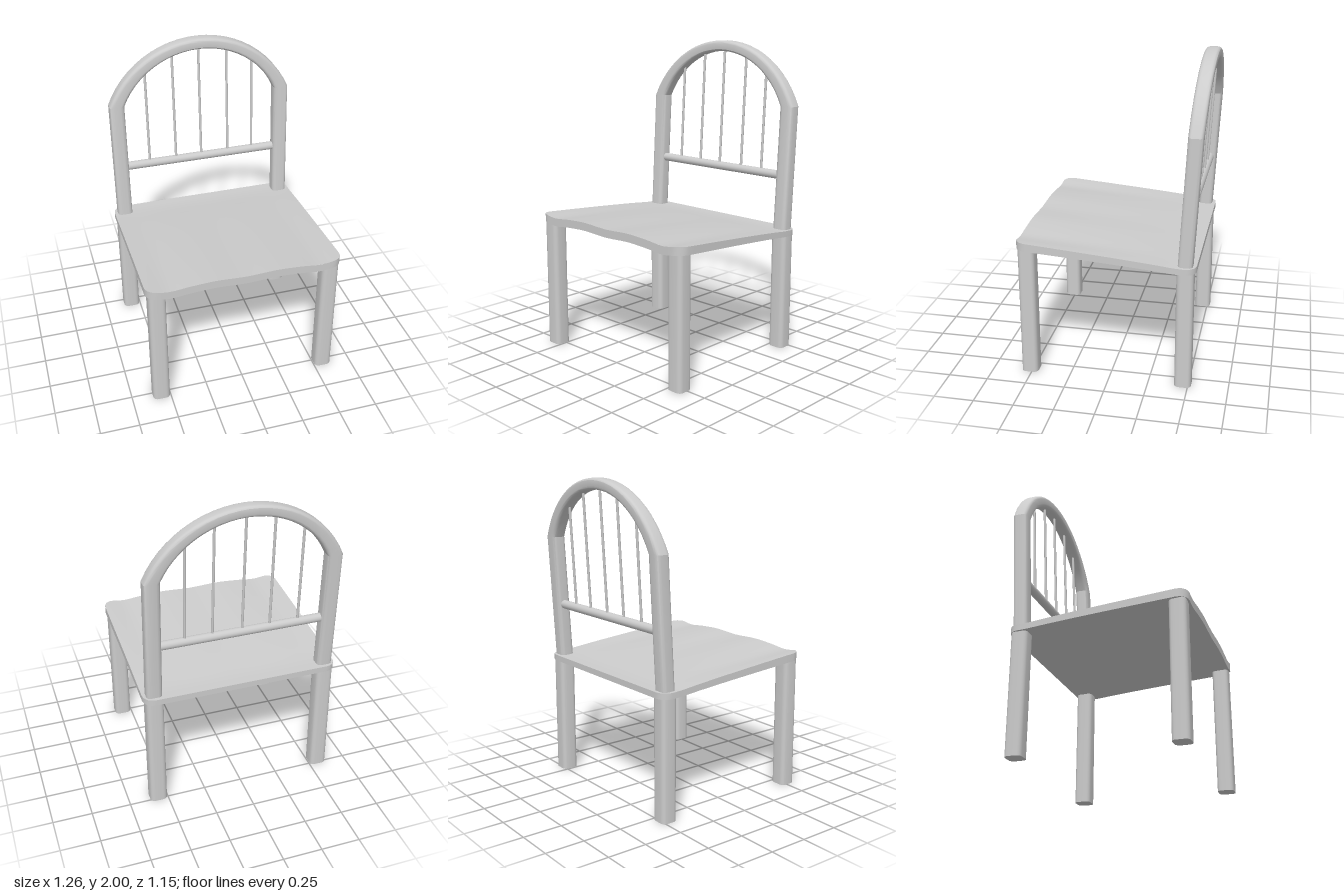
import * as THREE from 'three';
import { toCreasedNormals } from 'three/addons/utils/BufferGeometryUtils.js';

const material = new THREE.MeshStandardMaterial({ color: 0xcccccc });

// Depth of the leaning backrest plane at height y
const backZ = (y) => -0.465 - (y - 0.8) * 0.0545;

// Unit square section with rounded corners, counter-clockwise
function roundedSection(radius = 0.27, steps = 5) {
  const points = [];
  for (let corner = 0; corner < 4; corner++) {
    const middle = Math.PI / 4 + corner * Math.PI / 2;
    const cx = Math.sign(Math.cos(middle)) * (0.5 - radius);
    const cy = Math.sign(Math.sin(middle)) * (0.5 - radius);
    for (let i = 0; i <= steps; i++) {
      const angle = (corner + i / steps) * Math.PI / 2;
      points.push([cx + radius * Math.cos(angle), cy + radius * Math.sin(angle)]);
    }
  }
  return points;
}

// Sweep the section through rings spanning inner point a to outer point b
function sweep(rings, depth, zAt) {
  const section = roundedSection();
  const n = section.length;
  const positions = [];
  const index = [];
  const add = (ring, u, v) => {
    const x = THREE.MathUtils.lerp(ring.a[0], ring.b[0], u + 0.5);
    const y = THREE.MathUtils.lerp(ring.a[1], ring.b[1], u + 0.5);
    positions.push(x, y, zAt(y) + v * depth);
  };
  for (const ring of rings) for (const [u, v] of section) add(ring, u, v);
  const last = rings.length - 1;
  add(rings[0], 0, 0);
  add(rings[last], 0, 0);
  for (let j = 0; j < n; j++) {
    const k = (j + 1) % n;
    for (let i = 0; i < last; i++) {
      const p = i * n, q = p + n;
      index.push(p + j, q + j, p + k, q + j, q + k, p + k);
    }
    index.push((last + 1) * n, j, k);
    index.push((last + 1) * n + 1, last * n + k, last * n + j);
  }
  const geometry = new THREE.BufferGeometry();
  geometry.setAttribute('position', new THREE.Float32BufferAttribute(positions, 3));
  geometry.setIndex(index);
  return toCreasedNormals(geometry, 0.38);
}

// Seat: a rounded slab sloping to the back, with a soft wave along the front
function seatGeometry() {
  const halfWidth = 0.63, front = 0.578, back = -0.533, radius = 0.07;
  const rows = [];
  for (let i = 0; i <= 5; i++) rows.push(back + radius * (1 - Math.cos(i / 5 * Math.PI / 2)));
  for (let i = 1; i < 14; i++) rows.push(THREE.MathUtils.lerp(back + radius, front - radius, i / 14));
  for (let i = 0; i <= 5; i++) rows.push(front - radius + radius * Math.sin(i / 5 * Math.PI / 2));

  const geometry = new THREE.BoxGeometry(2, 1, 2, 32, 1, rows.length - 1);
  const p = geometry.attributes.position;
  const bump = (x, centre, width) => Math.exp(-(((x - centre) / width) ** 2));
  for (let i = 0; i < p.count; i++) {
    const z = rows[Math.round((p.getZ(i) + 1) / 2 * (rows.length - 1))];
    const d = Math.min(radius, Math.max(0, z - (front - radius), back + radius - z));
    const x = p.getX(i) * (halfWidth - radius + Math.sqrt(radius * radius - d * d));
    const ax = Math.abs(x);
    const slope = Math.max(0, (z + 0.42) / 0.998);
    const wave = 0.009 * bump(ax, 0.2, 0.13) - 0.011 * bump(ax, 0.48, 0.08) + 0.005 * bump(ax, 0.63, 0.07);
    const top = 0.806 + 0.085 * Math.pow(slope, 0.85) + wave * slope;
    const thickness = 0.038 + 0.014 * slope;
    p.setXYZ(i, x, p.getY(i) > 0 ? top : top - thickness, z);
  }
  return toCreasedNormals(geometry, 0.6);
}

// Point on a circular arc from the spring line at y = 1.6 to the apex
function archPoint(half, apex, t) {
  const rise = apex - 1.6;
  const r = (half * half + rise * rise) / (2 * rise);
  const angle = Math.asin(half / r) * t;
  return [r * Math.sin(angle), apex - r + r * Math.cos(angle)];
}

export function createModel() {
  const group = new THREE.Group();
  const add = (name, geometry) => {
    const mesh = new THREE.Mesh(geometry, material);
    mesh.name = name;
    group.add(mesh);
    return mesh;
  };

  add('seat', seatGeometry());

  // Legs
  for (const [side, sx] of [['Left', 1], ['Right', -1]]) {
    for (const [end, z, top] of [['front', 0.513, 0.85], ['back', -0.467, 0.79]]) {
      const rings = [0, top].map((y) => ({ a: [sx * 0.56 - 0.055, y], b: [sx * 0.56 + 0.055, y] }));
      add(`${end}${side}Leg`, sweep(rings, 0.105, () => z));
    }
  }

  // Back frame: two posts joined by an arch that thins towards the top
  const rings = [{ a: [0.51, 0.785], b: [0.608, 0.785] }];
  for (let i = 0; i <= 24; i++) {
    const t = 1 - i / 12;
    rings.push({ a: archPoint(0.51, 1.93, t), b: archPoint(0.608, 2, t) });
  }
  rings.push({ a: [-0.51, 0.785], b: [-0.608, 0.785] });
  add('backFrame', sweep(rings, 0.09, backZ));

  // Cross rail
  const rail = add('backRail', new THREE.CylinderGeometry(0.028, 0.028, 1.06, 16));
  rail.rotation.z = Math.PI / 2;
  rail.position.set(0, 1.153, backZ(1.153));

  // Spindles, leaning with the frame
  const spindles = new THREE.Group();
  spindles.name = 'spindles';
  for (const x of [-0.36, -0.177, 0, 0.188, 0.36]) {
    const t = Math.asin(x / 0.559) / Math.asin(0.51 / 0.559);
    const top = archPoint(0.51, 1.93, t)[1] + 0.02;
    const path = new THREE.LineCurve3(
      new THREE.Vector3(x, 1.16, backZ(1.16)),
      new THREE.Vector3(x, top, backZ(top))
    );
    const mesh = new THREE.Mesh(new THREE.TubeGeometry(path, 1, 0.0085, 10), material);
    mesh.name = 'spindle';
    spindles.add(mesh);
  }
  group.add(spindles);

  return group;
}
